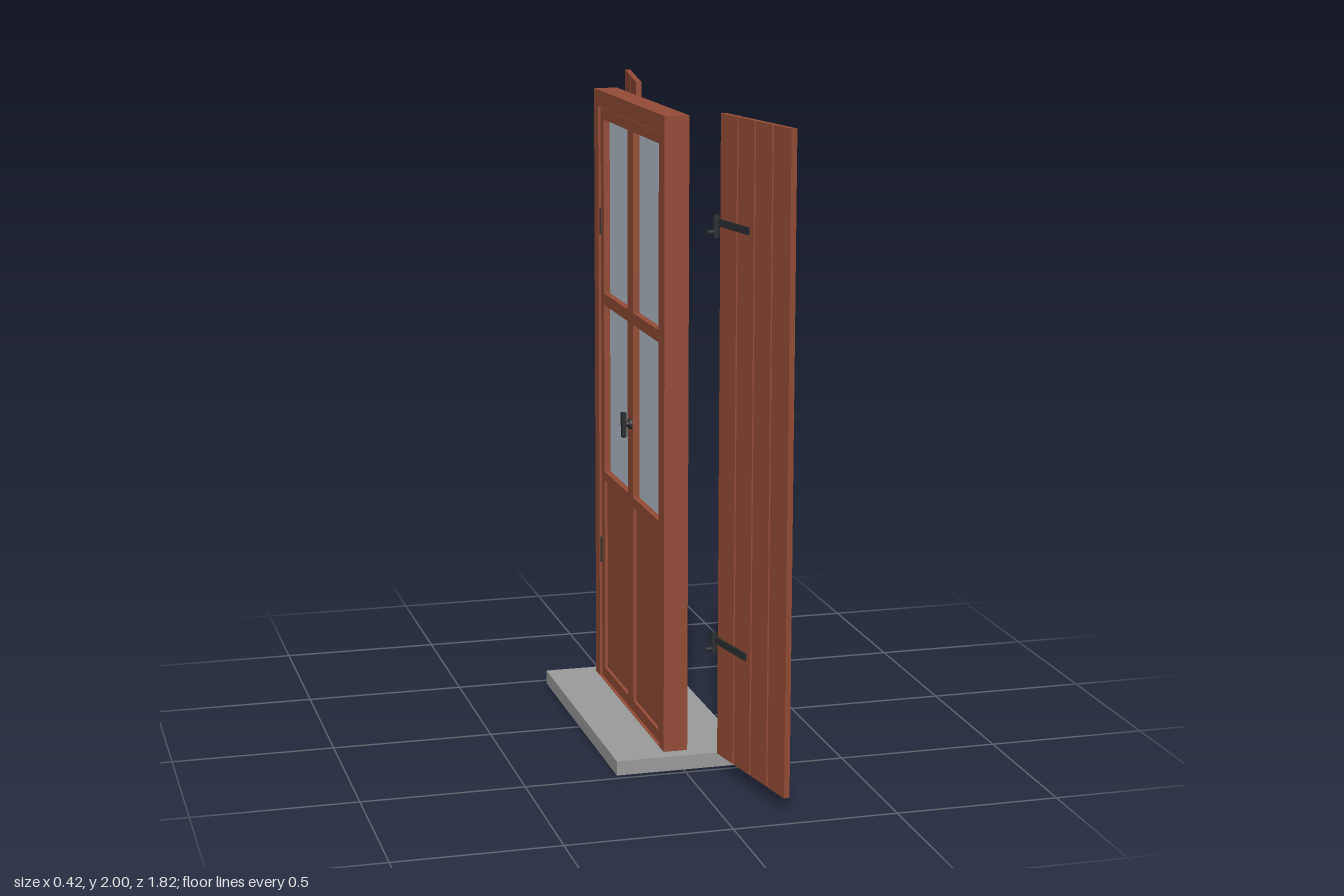
import * as THREE from 'three';

const mat = (color) => new THREE.MeshStandardMaterial({ color });
const wood = mat(0x944c36), iron = mat(0x2b2e30), glass = mat(0xb8c4ce), stone = mat(0x9c9c9c);

function add(parent, name, geometry, material, x = 0, y = 0, z = 0) {
  const m = new THREE.Mesh(geometry, material);
  m.name = name;
  m.position.set(x, y, z);
  parent.add(m);
  return m;
}
const box = (p, name, material, w, h, d, x, y, z) =>
  add(p, name, new THREE.BoxGeometry(w, h, d), material, x, y, z);
const cyl = (p, name, r, h, x, y, z) =>
  add(p, name, new THREE.CylinderGeometry(r, r, h, 16), iron, x, y, z);

const rect = (Type, z0, z1, y0, y1) => new Type([
  new THREE.Vector2(z0, y0), new THREE.Vector2(z1, y0),
  new THREE.Vector2(z1, y1), new THREE.Vector2(z0, y1)]);

// Panel drawn in the z-y plane, with rectangular openings, between x0 and x1
function panel(outer, holes, x0, x1) {
  const s = rect(THREE.Shape, ...outer);
  s.holes = holes.map((h) => rect(THREE.Path, ...h));
  const g = new THREE.ExtrudeGeometry(s, { depth: x1 - x0, bevelEnabled: false });
  return g.rotateY(-Math.PI / 2).translate(x1, 0, 0);
}

// Door frame, leaf, panes, hinges and handle
function makeDoor() {
  const door = new THREE.Group();
  door.name = 'door';
  add(door, 'doorFrame', panel([-0.42, 0.428, 0.045, 1.99],
    [[-0.367, 0.378, 0.046, 1.938]], -0.05, 0.025), wood);
  const columns = [[-0.325, -0.027], [0.04, 0.338]];
  const rows = [[0.085, 0.722], [0.752, 1.303], [1.34, 1.9]];
  const holes = columns.flatMap((c) => rows.map((r) => [...c, ...r]));
  add(door, 'doorLeaf', panel([-0.363, 0.374, 0.05, 1.934], holes, -0.043, 0.013), wood);
  for (const [z0, z1, y0, y1] of holes) {
    const low = y0 < 0.5;
    box(door, low ? 'lowerPanel' : 'windowPane', low ? wood : glass,
      low ? 0.036 : 0.016, y1 - y0, z1 - z0, -0.015, (y0 + y1) / 2, (z0 + z1) / 2);
  }
  for (const y of [0.48, 1.57]) {
    for (const z of [-0.364, 0.375]) box(door, 'doorHinge', iron, 0.066, 0.085, 0.01, -0.014, y, z);
  }
  const handle = new THREE.Group();
  handle.name = 'doorHandle';
  handle.position.set(-0.043, 0.985, 0.018);
  door.add(handle);
  cyl(handle, 'rosette', 0.016, 0.01, -0.004, 0, 0).rotation.z = Math.PI / 2;
  cyl(handle, 'spindle', 0.009, 0.026, -0.014, 0, 0).rotation.z = Math.PI / 2;
  box(handle, 'lever', iron, 0.013, 0.078, 0.022, -0.025, -0.002, 0);
  return door;
}

// Plank cross-section with V grooves on both faces, extruded upwards
function plankBoard(width, thick, height, planks) {
  const pts = [], pitch = width / planks, v = 0.004;
  for (const side of [-1, 1]) {
    const x = side * thick / 2;
    pts.push([x, side * width / 2]);
    for (let i = 1; i < planks; i++) {
      const z = side * (width / 2 - i * pitch);
      pts.push([x, z + side * v], [x - side * v, z], [x, z - side * v]);
    }
    pts.push([x, -side * width / 2]);
  }
  const s = new THREE.Shape(pts.map(([x, z]) => new THREE.Vector2(x, -z)));
  return new THREE.ExtrudeGeometry(s, { depth: height, bevelEnabled: false }).rotateX(-Math.PI / 2);
}

// Shutter on side s (+1 or -1); local z runs away from the hinge
function makeShutter(s) {
  const g = new THREE.Group();
  g.name = s > 0 ? 'leftShutter' : 'rightShutter';
  g.position.set(0.104, 0, 0.0025 + s * 0.481);
  g.rotation.y = s * 0.175;
  const W = 0.437, T = 0.018;
  add(g, 'planks', plankBoard(W, T, 1.955, 4), wood, T / 2, 0.045, s * W / 2);
  for (const y of [0.475, 1.57]) {
    box(g, 'batten', wood, 0.018, 0.085, 0.368, T + 0.009, y, s * 0.208);
  }
  // Strap hinges on the inner face
  for (const y of [0.405, 1.68]) {
    box(g, 'hingeStrap', iron, 0.006, 0.022, 0.21, -0.003, y, s * 0.085);
    cyl(g, 'hingeKnuckle', 0.011, 0.032, -0.003, y, -s * 0.018);
    cyl(g, 'hingePin', 0.008, 0.068, -0.003, y - 0.013, -s * 0.018);
    cyl(g, 'pinCollar', 0.012, 0.022, -0.003, y - 0.03, -s * 0.018);
    cyl(g, 'wallSpike', 0.007, 0.03, -0.018, y - 0.03, -s * 0.018).rotation.z = Math.PI / 2;
  }
  // Latch by the free edge: a hook on one shutter, a catch on the other
  box(g, 'latchPlate', iron, 0.007, 0.022, 0.03, T + 0.002, 1.182, s * (W - 0.017));
  if (s > 0) {
    box(g, 'latchBar', iron, 0.008, 0.014, 0.08, T + 0.004, 1.182, W - 0.043);
    box(g, 'latchHook', iron, 0.008, 0.026, 0.007, T + 0.004, 1.17, W - 0.082);
  } else {
    box(g, 'latchCatch', iron, 0.01, 0.012, 0.042, T + 0.004, 1.182, -(W - 0.022));
  }
  return g;
}

export function createModel() {
  const model = new THREE.Group();
  model.name = 'shutteredDoor';
  box(model, 'sill', stone, 0.41, 0.045, 0.94, -0.005, 0.0225, 0.005);
  model.add(makeDoor(), makeShutter(1), makeShutter(-1));
  return model;
}
